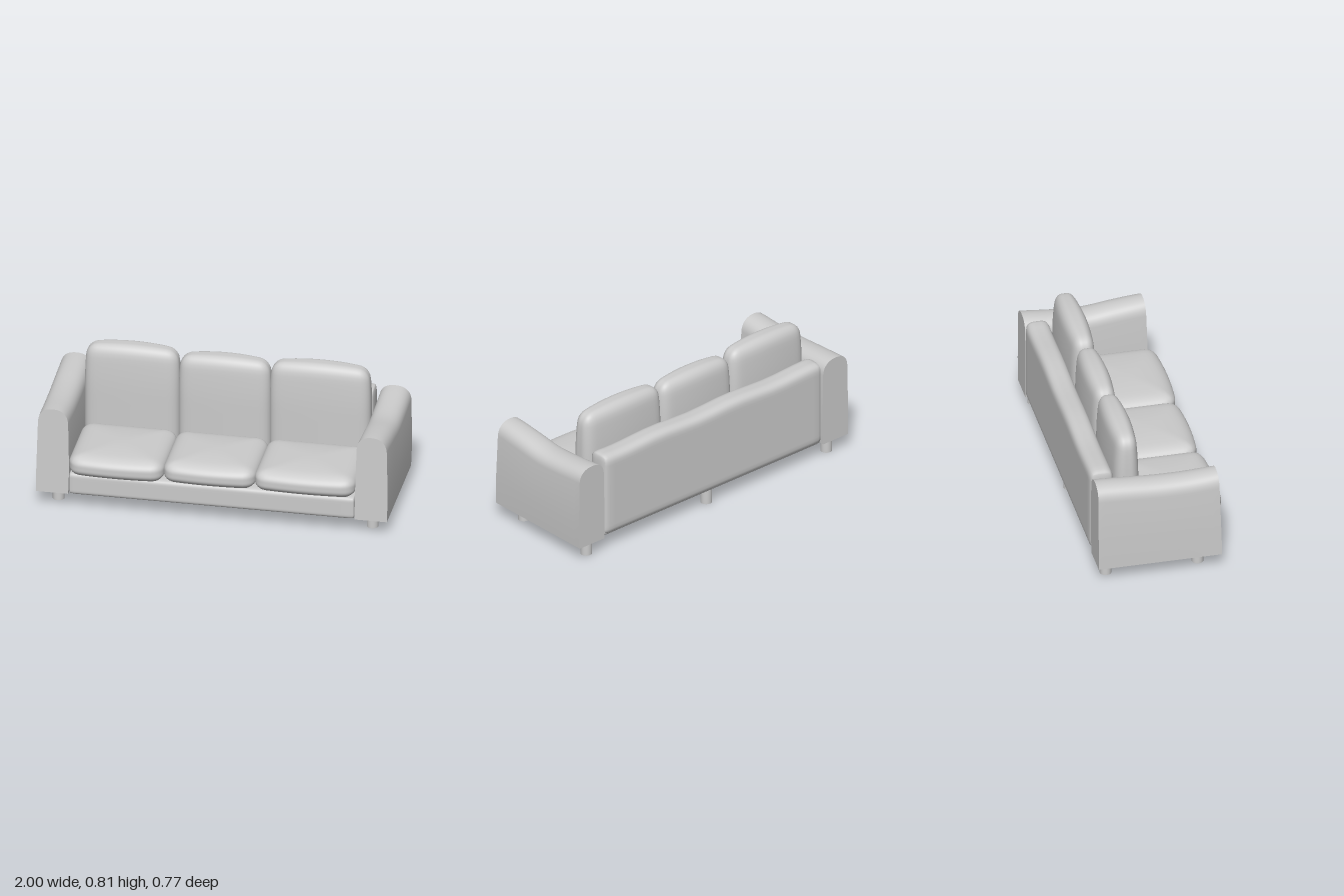
import * as THREE from 'three';
import { mergeVertices, toCreasedNormals } from 'three/addons/utils/BufferGeometryUtils.js';

const material = new THREE.MeshStandardMaterial({ color: 0xcccccc });
const { clamp } = THREE.MathUtils;

// Upholstered block: bounds per axis, corner radius per axis, optional shaping rule
// rule(p, u) gets the point and its -1..1 position inside the block
function softBlock(name, min, max, radius, rule) {
  const n = 22;
  let geo = new THREE.BoxGeometry(2, 2, 2, n, n, n);
  geo.deleteAttribute('uv');
  geo.deleteAttribute('normal');
  geo = mergeVertices(geo, 1e-4);
  const pos = geo.attributes.position;
  const lo = new THREE.Vector3(...min), hi = new THREE.Vector3(...max);
  const mid = lo.clone().add(hi).multiplyScalar(0.5);
  const half = hi.clone().sub(lo).multiplyScalar(0.5);
  const r = new THREE.Vector3(...radius);
  const p = new THREE.Vector3(), q = new THREE.Vector3(), u = new THREE.Vector3();
  for (let i = 0; i < pos.count; i++) {
    p.fromBufferAttribute(pos, i);
    // crowd the grid towards the edges
    for (const a of ['x', 'y', 'z']) {
      p[a] = Math.sin(p[a] * Math.PI / 2) * half[a];
      const inner = half[a] - r[a];
      q[a] = clamp(p[a], -inner, inner);
    }
    // round off edges and corners
    p.sub(q).divide(r);
    if (p.length() > 0) p.normalize();
    p.multiply(r).add(q);
    u.copy(p).divide(half);
    p.add(mid);
    if (rule) rule(p, u);
    pos.setXYZ(i, p.x, p.y, p.z);
  }
  geo.computeVertexNormals();
  const mesh = new THREE.Mesh(geo, material);
  mesh.name = name;
  return mesh;
}

// Arm: arched section swept front to back, with a dipping top edge
function makeArm(name, side, topPoints) {
  const shape = new THREE.Shape();
  shape.moveTo(-0.093, 0);
  shape.lineTo(0.09, 0);
  shape.lineTo(0.096, 0.15);
  shape.lineTo(0.092, 0.43);
  shape.bezierCurveTo(0.088, 0.49, 0.045, 0.51, 0, 0.51);
  shape.bezierCurveTo(-0.05, 0.51, -0.085, 0.49, -0.088, 0.43);
  shape.lineTo(-0.093, 0.15);
  shape.closePath();
  const geo = new THREE.ExtrudeGeometry(shape, { depth: 0.69, steps: 16, curveSegments: 10, bevelEnabled: false });
  const top = new THREE.SplineCurve(topPoints.map(([z, y]) => new THREE.Vector2(z, y)));
  const pos = geo.attributes.position;
  for (let i = 0; i < pos.count; i++) {
    const t = pos.getZ(i) / 0.69;
    const h = pos.getY(i) / 0.51;
    const height = top.getPoint(t).y - 0.09;
    const pinch = 1 - 0.06 * h * Math.pow(t, 6);
    pos.setXYZ(i,
      side * 0.903 + pos.getX(i) * pinch,
      0.09 + h * height,
      -0.38 + t * (0.705 - 0.015 * h));
  }
  const mesh = new THREE.Mesh(toCreasedNormals(geo, 0.7), material);
  mesh.name = name;
  return mesh;
}

export function createModel() {
  const sofa = new THREE.Group();
  sofa.name = 'sofa';

  // Base and backrest
  sofa.add(softBlock('base', [-0.81, 0.09, -0.37], [0.81, 0.225, 0.335], [0.02, 0.025, 0.025]));
  sofa.add(softBlock('backrest', [-0.805, 0.095, -0.385], [0.805, 0.6, -0.25], [0.02, 0.045, 0.05], (p, u) => {
    // gentle waves along the top edge
    if (u.y > 0) p.y += u.y * (0.006 * Math.cos(p.x * 11 + 2) + 0.003);
  }));

  // Arms
  sofa.add(makeArm('leftArm', 1, [[-0.38, 0.583], [-0.2, 0.567], [-0.04, 0.56], [0.14, 0.582], [0.31, 0.6]]));
  sofa.add(makeArm('rightArm', -1, [[-0.38, 0.61], [-0.2, 0.602], [0.0, 0.592], [0.14, 0.592], [0.31, 0.602]]));

  // Three seat cushions with matching back cushions
  const cushions = [
    { name: 'right', x0: -0.81, x1: -0.272, front: 0.388, top: 0.812 },
    { name: 'middle', x0: -0.278, x1: 0.245, front: 0.37, top: 0.792 },
    { name: 'left', x0: 0.238, x1: 0.81, front: 0.37, top: 0.8 },
  ];
  for (const c of cushions) {
    sofa.add(softBlock(c.name + 'SeatCushion', [c.x0, 0.2, -0.12], [c.x1, 0.355, c.front], [0.07, 0.06, 0.075], (p, u) => {
      // puffed top, bowed front
      const edge = Math.max(u.x * u.x, u.z * u.z);
      p.y -= u.y * 0.022 * edge;
      if (u.z > 0) p.z -= 0.02 * u.z * u.x * u.x;
    }));
    sofa.add(softBlock(c.name + 'BackCushion', [c.x0, 0.21, -0.252], [c.x1, c.top, -0.086], [0.06, 0.065, 0.062], (p, u) => {
      // thinner, narrower and crowned towards the top
      const t = Math.max(0, u.y);
      const mid = (c.x0 + c.x1) / 2;
      p.x = mid + (p.x - mid) * (1 - 0.05 * t * t * t);
      p.z = -0.169 + (p.z + 0.169) * (1 - 0.2 * t * t - 0.22 * u.x * u.x);
      p.y -= 0.02 * t * u.x * u.x;
    }));
  }

  // Legs: one per corner and one under the middle of the back
  const legGeo = new THREE.CylinderGeometry(0.033, 0.033, 0.1, 20);
  const legs = [
    ['frontLeftLeg', 0.89, 0.208], ['frontRightLeg', -0.89, 0.208],
    ['backLeftLeg', 0.89, -0.317], ['backRightLeg', -0.89, -0.317],
    ['backMiddleLeg', 0, -0.317],
  ];
  for (const [name, x, z] of legs) {
    const leg = new THREE.Mesh(legGeo, material);
    leg.name = name;
    leg.position.set(x, 0.05, z);
    sofa.add(leg);
  }
  return sofa;
}
